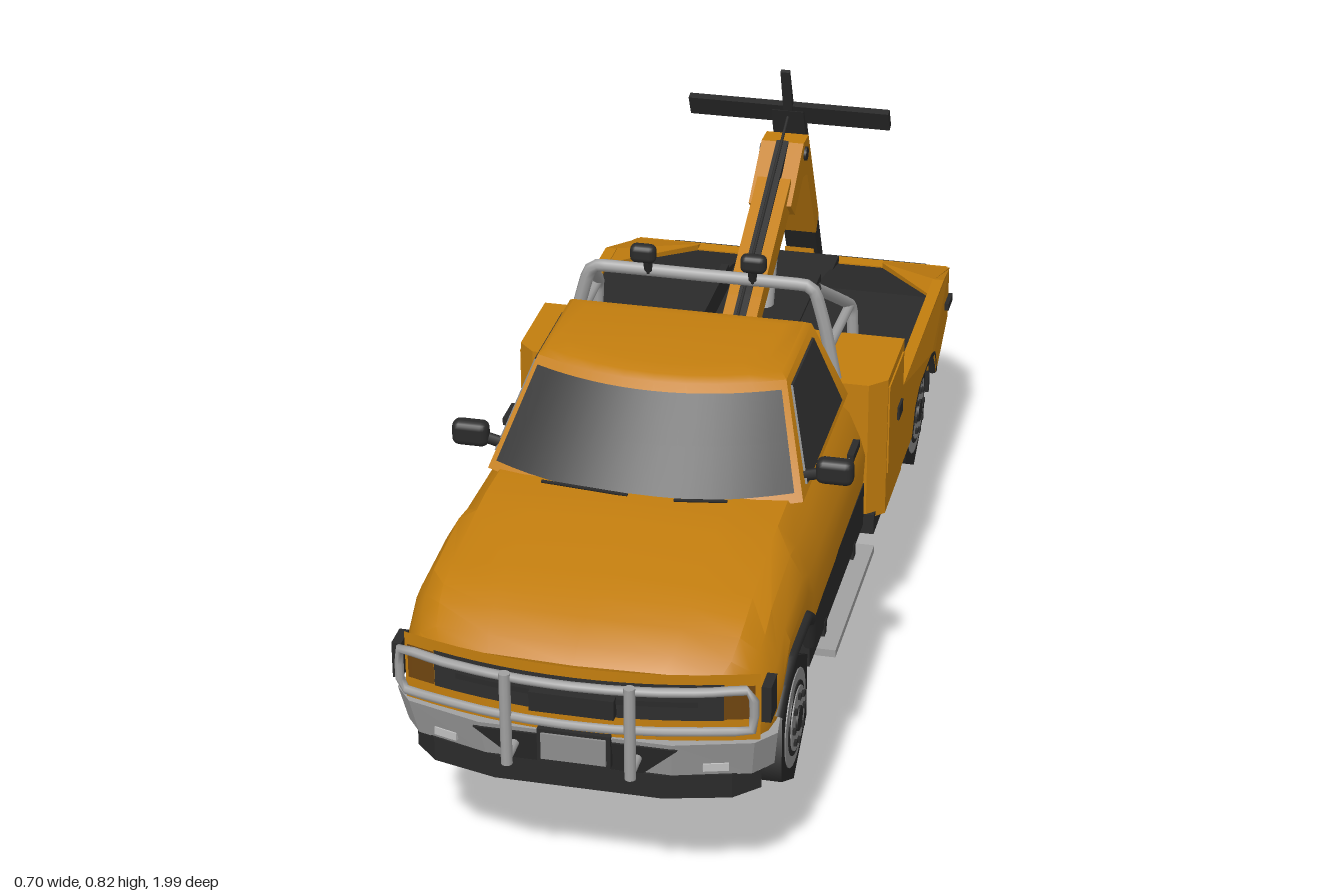
import * as THREE from 'three';
import { toCreasedNormals } from 'three/addons/utils/BufferGeometryUtils.js';
import { RoundedBoxGeometry } from 'three/addons/geometries/RoundedBoxGeometry.js';

const mat = (name, color, extra = {}) => Object.assign(new THREE.MeshStandardMaterial({ color, ...extra }), { name });
const orange = mat('orange paint', 0xc27d0e);
const black = mat('black plastic', 0x2a2a2a);
const glass = mat('dark glass', 0x2e2e2e, { side: THREE.DoubleSide });
const rubber = mat('rubber', 0x272727);
const chrome = mat('grey metal', 0xa0a0a0);
const steel = mat('wheel steel', 0x8c8c8c);
const lens = mat('pale lens', 0xc0c0c0);
const amber = mat('amber lamp', 0x6e440f, { side: THREE.DoubleSide });
const red = mat('red lamp', 0x7d2a14);
const lerp = THREE.MathUtils.lerp;

export function createModel() {
  const root = new THREE.Group();
  const add = (name, geo, m) => {
    const mesh = new THREE.Mesh(geo, m);
    mesh.name = name;
    root.add(mesh);
    return mesh;
  };
  const box = (name, m, x0, x1, y0, y1, z0, z1) => add(name,
    new THREE.BoxGeometry(x1 - x0, y1 - y0, z1 - z0).translate((x0 + x1) / 2, (y0 + y1) / 2, (z0 + z1) / 2), m);
  const pair = (name, m, x0, x1, ...r) => { box(name, m, x0, x1, ...r); box(name, m, -x1, -x0, ...r); };
  const extrude = (pts, depth) => new THREE.ExtrudeGeometry(
    new THREE.Shape(pts.map(p => new THREE.Vector2(...p))), { depth, bevelEnabled: false });
  // outline in (z, y), thick along x; outline in (x, z), thick along y
  const side = (pts, x0, x1) => extrude(pts, x1 - x0).rotateY(-Math.PI / 2).translate(x1, 0, 0);
  const plan = (pts, y0, y1) => extrude(pts, y1 - y0).rotateX(Math.PI / 2).translate(0, y1, 0);
  const mirrored = half => [...half, ...half.map(([x, z]) => [-x, z]).reverse()];
  const V = p => new THREE.Vector3(...p);
  // moves every vertex by a rule
  const warp = (g, fn) => {
    const p = g.attributes.position;
    for (let i = 0; i < p.count; i++) p.setXYZ(i, ...fn(p.getX(i), p.getY(i), p.getZ(i)));
    g.computeVertexNormals();
    return g;
  };
  const bar = (name, m, a, b, r, n = 10) => {
    const d = V(b).sub(V(a));
    const mesh = add(name, new THREE.CylinderGeometry(r, r, d.length(), n), m);
    mesh.position.copy(V(a)).addScaledVector(d, 0.5);
    mesh.quaternion.setFromUnitVectors(new THREE.Vector3(0, 1, 0), d.normalize());
  };
  const tube = (name, m, pts, r, closed = false) => add(name,
    new THREE.TubeGeometry(new THREE.CatmullRomCurve3(pts.map(V), closed, 'catmullrom', 0.15), 48, r, 8, closed), m);
  const grid = (name, m, fn, nu = 12, nv = 2) => add(name,
    warp(new THREE.PlaneGeometry(2, 1, nu, nv), (x, y) => fn(x, y + .5)), m);
  const loft = (rings, crease = 0.5) => {
    const n = rings[0].length, idx = [], last = (rings.length - 1) * n;
    for (let s = 0; s < rings.length - 1; s++) for (let i = 0; i < n; i++) {
      const a = s * n + i, b = s * n + (i + 1) % n;
      idx.push(a, b, a + n, b, b + n, a + n);
    }
    for (let i = 1; i < n - 1; i++) idx.push(0, i + 1, i, last, last + i, last + i + 1);
    const g = new THREE.BufferGeometry();
    g.setAttribute('position', new THREE.Float32BufferAttribute(rings.flat(2), 3));
    g.setIndex(idx);
    return toCreasedNormals(g, crease);
  };

  // Hood, fenders and doors: z, half width, top, bottom, plan curve
  const sections = [[.94, .288, .470, .345, .05], [.915, .305, .490, .345, .05], [.86, .312, .512, .348, .025],
    [.81, .315, .527, .36, 0], [.76, .315, .538, .41, 0], [.61, .315, .556, .41, 0], [.56, .315, .56, .36, 0],
    [.45, .313, .558, .36, 0], [.06, .31, .55, .36, 0]];
  add('hood and doors', loft(sections.map(([z, w, top, bot, c]) => {
    const h = top - bot;
    const half = [[0, top], [.5 * w, top - .004], [.8 * w, top - .014], [.9 * w, top - .035 * h / .15],
      [.97 * w, top - .5 * h], [w, top - .68 * h], [.99 * w, bot]];
    return [...half, ...half.slice(1).reverse().map(([x, y]) => [-x, y])].map(([x, y]) => [x, y, z - c * (x / w) ** 2]);
  })), orange);

  // Cab upper part, shared by the shell and its windows
  const cab = t => ({ y: lerp(.54, .70, t), w: lerp(.275, .218, t), zf: lerp(.54, .385, t), zs: lerp(.46, .33, t), zr: lerp(.055, .11, t) });
  const cabRing = (t, inset = 0) => {
    const { y, w, zf, zs, zr } = cab(t), W = w - inset, ring = [[W, y, zr + inset]];
    for (let i = 0; i <= 8; i++) {
      const u = 1 - i / 4;
      ring.push([u * W, y, zf - (zf - zs) * u * u - inset]);
    }
    return [...ring, [-W, y, zr + inset]];
  };
  add('cab roof and pillars', loft([cabRing(1.08, .035), cabRing(1.045, .009), cabRing(1), cabRing(0)], .7), orange);
  grid('windshield', glass, (u, v) => {
    const c = cab(.08 + .84 * v), s = u * .96;
    return [s * c.w, c.y + .003, c.zf - (c.zf - c.zs) * s * s + .005];
  }, 16);
  grid('rear window', glass, (u, v) => {
    const c = cab(.2 + .66 * v);
    return [-u * c.w * .88, c.y, c.zr - .004];
  });
  for (const s of [-1, 1]) {
    const pane = side([[.42, .553], [.32, .685], [.135, .685], [.105, .553]], s > 0 ? -.001 : -.004, s > 0 ? .004 : .001);
    add('side window', warp(pane, (x, y, z) => [x + s * cab((y - .54) / .16).w, y, z]), glass);
    bar('wiper', black, [s * .04 + .03, .561, .538], [s * .04 + .12 * s, .567, .533], .003, 5);
    // mirrors
    const mirror = add('mirror', new RoundedBoxGeometry(.065, .046, .032, 2, .013), black);
    mirror.position.set(s * .319, .577, .408);
    box('mirror glass', chrome, s * .319 - .021, s * .319 + .021, .562, .592, .387, .3925);
    bar('mirror arm', black, [s * .26, .56, .405], [s * .30, .57, .405], .01, 6);
    // fender lip
    tube('front wheel arch', black, [[s * .308, .35, .835], [s * .31, .385, .80], [s * .312, .412, .75],
      [s * .312, .412, .62], [s * .31, .38, .57], [s * .305, .32, .55]], .012);
  }
  pair('door handle', black, .305, .317, .493, .507, .16, .22);
  pair('rocker panel', black, .1, .309, .28, .365, .06, .56);
  pair('side step', chrome, .30, .337, .248, .262, .10, .47);
  for (const z of [.15, .42]) pair('step bracket', black, .24, .31, .25, .29, z - .01, z + .01);

  // Nose
  const nose = x => .943 - .05 * (x / .3) ** 2;
  const strip = (name, m, x0, x1, y0, y1, off) => grid(name, m, (u, v) => {
    const x = lerp(x0, x1, (u + 1) / 2);
    return [x, lerp(y0, y1, v), nose(x) + off];
  });
  strip('nose panel', orange, -.295, .295, .34, .468, 0);
  strip('grille', glass, -.24, .24, .385, .452, .004);
  for (const s of [-1, 1]) {
    strip('headlight', amber, s > 0 ? .24 : -.288, s > 0 ? .288 : -.24, .388, .45, .006);
    strip('grille bar', black, s > 0 ? .02 : -.2, s > 0 ? .2 : -.02, .412, .422, .008);
  }
  pair('side marker', black, .298, .314, .385, .45, .86, .905);
  box('winch', black, -.07, .07, .39, .425, .94, .962);

  // Front bumper, leaning back towards its lower edge
  const lean = (x, y, z) => [x * (1 - (.345 - y) * .4), y, z - (.345 - y) * (z > .85 ? .3 : -.5)];
  add('front bumper', warp(plan(mirrored([[.312, .82], [.318, .87], [.288, .908], [.16, .945]]), .272, .345), lean), chrome);
  add('bumper centre', warp(extrude([[-.17, .336], [-.11, .272], [.11, .272], [.17, .336]], .005).translate(0, 0, .944), lean), black);
  add('front apron', plan(mirrored([[.28, .83], [.29, .86], [.25, .9], [.14, .928]]), .23, .274), black);
  box('plate mount', black, -.061, .061, .29, .35, .938, .951);
  box('licence plate', steel, -.054, .054, .296, .344, .951, .955);
  for (const s of [-1, 1]) {
    const lamp = add('fog lamp', new THREE.BoxGeometry(.042, .014, .008), lens);
    lamp.position.set(s * .225, .293, .910);
    lamp.rotation.y = s * .29;
  }

  // Bull bar
  const bow = x => .985 - .05 * (x / .29) ** 2;
  const loop = [];
  for (const y of [.46, .387]) for (let i = -4; i <= 4; i++) {
    const x = (y > .4 ? i : -i) * .0725;
    loop.push([x, y, bow(x)]);
  }
  tube('bull bar frame', chrome, loop, .008, true);
  for (const s of [-1, 1]) {
    bar('bull bar upright', chrome, [s * .102, .30, .985], [s * .102, .47, .985], .0095);
    bar('bull bar mount', chrome, [s * .102, .31, .91], [s * .102, .31, .985], .008);
  }

  // Tool boxes behind the cab
  add('tool box', plan(mirrored([[.34, -.16], [.34, .01], [.31, .04]]), .28, .552), orange);
  pair('tool box door', orange, .338, .343, .36, .535, -.14, .005);
  pair('tool box latch', black, .341, .347, .425, .45, -.12, -.08);

  // Bed: side walls, decks beside a sunken channel, sloping rear corners
  const wall = [[-.16, .455], [-.62, .455], [-.81, .39], [-.81, .285], [-.56, .285], [-.53, .34], [-.5, .355],
    [-.35, .355], [-.31, .335], [-.28, .285], [-.16, .285]];
  for (const s of [-1, 1]) {
    add('bed side', warp(side(wall, s > 0 ? .318 : -.34, s > 0 ? .34 : -.318),
      (x, y, z) => [z < -.8 ? s * Math.min(.322, Math.abs(x)) : x, y, z]), orange);
    const corner = plan([[.19, -.81], [.19, -.785], [.322, -.55], [.322, -.62], [.322, -.81]].map(([x, z]) => [s * x, z]), .3, .455);
    add('bed corner', warp(corner, (x, y, z) => [x, Math.min(y, .455 + Math.min(0, (z + .62) * .33)), z]), orange);
    add('bed deck', side([[-.16, .449], [-.55, .449], [-.79, .388], [-.79, .37], [-.16, .37]],
      s > 0 ? .095 : -.319, s > 0 ? .319 : -.095), black);
    tube('rear wheel arch', black, [[s * .332, .285, -.29], [s * .332, .335, -.32], [s * .332, .355, -.37],
      [s * .332, .355, -.49], [s * .332, .335, -.54], [s * .332, .285, -.565]], .009);
  }
  box('bed channel', black, -.1, .1, .36, .405, -.79, -.16);
  pair('bed rail', black, .085, .1, .40, .454, -.6, -.16);
  box('tailboard', orange, -.318, .318, .285, .392, -.815, -.785);
  pair('bed marker', black, .333, .341, .355, .37, -.74, -.69);
  pair('bed skirt', black, .25, .325, .25, .29, -.27, .04);
  pair('mud flap', rubber, .245, .325, .235, .30, -.575, -.565);

  // Rear bumper and lamps
  add('rear bumper', plan(mirrored([[.31, -.81], [.30, -.86], [.26, -.895], [.06, -.895], [.05, -.87]]), .257, .355), black);
  pair('tail lamp', red, .175, .21, .302, .333, -.90, -.894);
  pair('rear indicator', amber, .212, .248, .302, .333, -.90, -.894);
  box('rear plate', chrome, .08, .15, .30, .335, -.90, -.894);

  // Roll bar with work lights
  tube('roll bar hoop', chrome, [[-.245, .55, .02], [-.225, .65, .02], [-.207, .715, .02], [-.187, .729, .02], [0, .729, .02],
    [.187, .729, .02], [.207, .715, .02], [.225, .65, .02], [.245, .55, .02]], .012);
  for (const s of [-1, 1]) {
    tube('roll bar brace', chrome, [[s * .205, .72, .01], [s * .235, .615, -.155], [s * .24, .59, -.17], [s * .245, .43, -.17]], .011);
    bar('roll bar rail', chrome, [s * .232, .61, .02], [s * .237, .61, -.165], .009);
    bar('light stalk', black, [s * .095, .729, .025], [s * .095, .765, .04], .008, 6);
    const lamp = add('work light', new RoundedBoxGeometry(.047, .034, .026, 2, .011), black);
    lamp.position.set(s * .1, .773, .045);
  }

  // Boom, wheel lift, ram and cable
  box('boom base', orange, -.055, .055, .40, .46, -.37, -.22);
  add('boom arm', side([[-.2, .44], [-.35, .513], [-.62, .64], [-.63, .58], [-.36, .47], [-.22, .425]], -.033, .033), orange);
  add('boom head', side([[-.58, .60], [-.70, .682], [-.75, .68], [-.87, .455], [-.845, .425],
    [-.74, .60], [-.70, .61], [-.62, .565]], -.042, .042), orange);
  add('boom foot', side([[-.885, .37], [-.94, .29], [-.945, .25], [-.925, .238], [-.885, .27]], -.03, .03), orange);
  add('boom groove', side([[-.22, .452], [-.35, .516], [-.7, .685], [-.7, .67], [-.35, .505]], -.012, .012), black);
  bar('boom pivot', black, [-.047, .655, -.715], [.047, .655, -.715], .014, 12);
  add('lift beam', side([[-.742, .73], [-.768, .722], [-1, .27], [-.97, .255], [-.93, .325], [-.865, .44]], -.032, .032), black);
  add('lift tip', side([[-.715, .822], [-.722, .825], [-.775, .71], [-.755, .71]], -.009, .009), black);
  add('lift crossbar', side([[-.748, .738], [-.764, .742], [-.785, .702], [-.769, .696]], -.2, .2), black);
  bar('hydraulic ram', chrome, [0, .39, -.535], [0, .59, -.61], .018, 12);
  bar('tow cable', black, [0, .455, -.19], [0, .715, -.75], .003, 6);

  // Wheels
  const wheel = (name, x, y, z, r, s, n) => {
    const w = new THREE.Group(), half = .039;
    const disc = (m, rad, a, b, seg, start = 0) => w.add(new THREE.Mesh(
      new THREE.CylinderGeometry(rad, rad, b - a, seg, 1, false, start).rotateZ(Math.PI / 2).translate(s * (a + b) / 2, 0, 0), m));
    if (n === 6) disc(rubber, r, -half, half, 6, Math.PI / 2);
    else {
      const prof = [[0, -half], [r * .8, -half], [r * .93, -half * .9], [r, -half * .6], [r, half * .6],
        [r * .93, half * .9], [r * .8, half], [0, half]].map(p => new THREE.Vector2(...p));
      w.add(new THREE.Mesh(toCreasedNormals(new THREE.LatheGeometry(prof, n).rotateZ(Math.PI / 2), .6), rubber));
    }
    disc(steel, r * .7, 0, half + .002, 24);
    disc(black, r * .53, half, half + .004, 24);
    disc(steel, r * .46, half, half + .006, 24);
    disc(black, r * .18, half, half + .010, 12);
    for (let i = 0; i < 8; i++) {
      const a = i * Math.PI / 4, bolt = new THREE.Mesh(new THREE.BoxGeometry(.010, .009, .009), black);
      bolt.position.set(s * (half + .006), Math.cos(a) * r * .35, Math.sin(a) * r * .35);
      w.add(bolt);
    }
    w.name = name;
    w.position.set(x, y, z);
    root.add(w);
  };
  for (const s of [-1, 1]) {
    wheel('front wheel', s * .27, .257, .685, .121, s, 6);
    wheel('rear wheel', s * .282, .262, -.435, .121, s, 6);
  }
  wheel('spare wheel', -.006, .125, 0, .125, 1, 32);

  // Chassis
  box('engine bay', black, -.215, .215, .27, .42, .55, .88);
  box('cab floor', black, -.25, .25, .285, .36, .04, .56);
  box('bed underside', black, -.23, .23, .31, .375, -.79, .04);
  box('tool box underside', black, -.30, .30, .274, .282, -.165, .04);
  pair('chassis rail', black, .10, .125, .25, .31, -.85, .85);
  for (const z of [-.7, -.25, -.05, .12, .4]) box('cross member', black, -.12, .12, .255, .285, z - .015, z + .015);
  for (const z of [.685, -.435]) {
    bar('axle', black, [-.25, .257, z], [.25, .257, z], .018);
    box('differential', black, -.04, .04, .22, .295, z - .04, z + .04);
  }
  bar('drive shaft', black, [0, .27, .6], [0, .262, -.42], .014);
  box('fuel tank', chrome, .13, .23, .25, .31, -.25, -.02);
  box('silencer', chrome, -.22, -.14, .255, .31, .1, .34);
  box('rear silencer', chrome, -.22, -.14, .265, .315, -.72, -.56);
  bar('exhaust pipe', black, [-.18, .27, .1], [-.18, .265, -.82], .011);
  return root;
}
